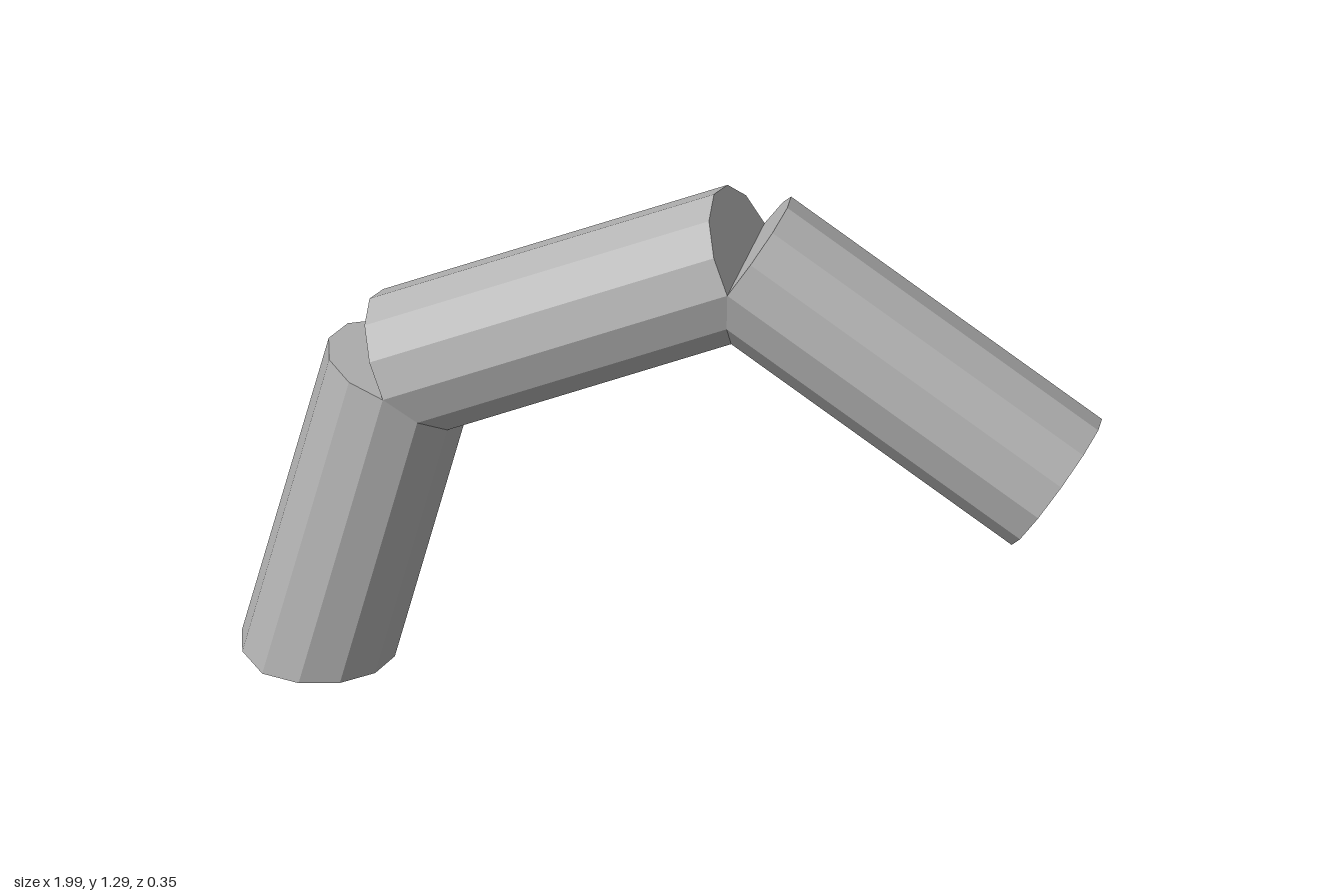
import * as THREE from 'three';

const RADIUS = 0.175;
const SIDES = 12;

// Twelve-sided rod whose axis runs from a to b in the x-y plane
function rod(name, a, b, material) {
  const axis = new THREE.Vector3().subVectors(b, a);
  const geometry = new THREE.CylinderGeometry(RADIUS, RADIUS, axis.length(), SIDES);
  axis.normalize();
  geometry.applyQuaternion(
    new THREE.Quaternion().setFromUnitVectors(new THREE.Vector3(0, 1, 0), axis)
  );
  geometry.translate((a.x + b.x) / 2, (a.y + b.y) / 2, 0);

  // Trim anything below the ground by sliding it up along the axis
  const p = geometry.attributes.position;
  for (let i = 0; i < p.count; i++) {
    if (p.getY(i) < 0) {
      p.setX(i, p.getX(i) - (p.getY(i) * axis.x) / axis.y);
      p.setY(i, 0);
    }
  }
  geometry.computeVertexNormals();
  const mesh = new THREE.Mesh(geometry, material);
  mesh.name = name;
  return mesh;
}

export function createModel() {
  const grey = new THREE.MeshStandardMaterial({ color: 0xb4b4b4 });
  grey.name = 'grey';
  grey.flatShading = true;

  // Axis points: base, two joints and the free tip
  const points = [[-0.83, -0.023], [-0.628, 0.757], [0.174, 1.133], [0.898, 0.655]]
    .map(([x, y]) => new THREE.Vector3(x, y, 0));

  const group = new THREE.Group();
  group.name = 'jointedArm';
  ['baseSegment', 'middleSegment', 'endSegment'].forEach((name, i) => {
    group.add(rod(name, points[i], points[i + 1], grey));
  });
  return group;
}
